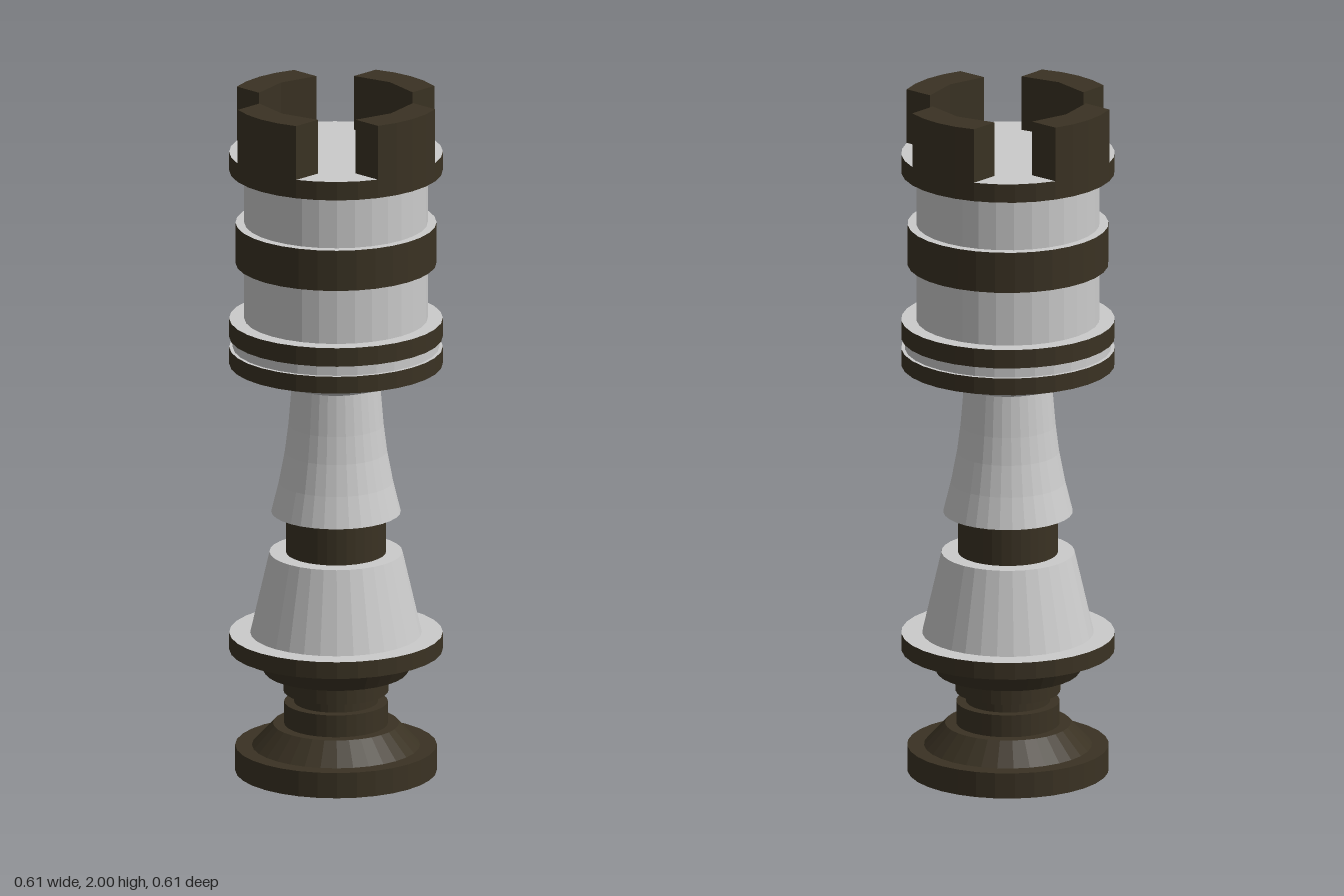
import * as THREE from 'three';

const SIDES = 32;
const RIM = 0.305;

export function createModel() {
  const group = new THREE.Group();
  group.name = 'rookPiece';
  const pale = new THREE.MeshStandardMaterial({ color: 0xcccccc, flatShading: true });
  const dark = new THREE.MeshStandardMaterial({ color: 0x3a3223, flatShading: true });

  const add = (name, geometry, material) => {
    const mesh = new THREE.Mesh(geometry, material);
    mesh.name = name;
    group.add(mesh);
    return mesh;
  };

  // Turned section: profile of [radius, height], bottom to top
  const turn = (name, material, profile) =>
    add(name, new THREE.LatheGeometry(profile.map(([r, y]) => new THREE.Vector2(r, y)), SIDES), material);

  // Dark foot with stepped neck and flared dish
  turn('base', dark, [
    [0, 0], [0.288, 0], [0.288, 0.075], [0.24, 0.075], [0.18, 0.14], [0.148, 0.14],
    [0.148, 0.205], [0.12, 0.205], [0.12, 0.237], [0.15, 0.237], [0.15, 0.295],
    [0.205, 0.295], [0.243, 0.36], [RIM, 0.36], [RIM, 0.41],
  ]);

  // Lower cone and its dark collar
  turn('lowerCone', pale, [[RIM, 0.41], [0.245, 0.41], [0.19, 0.65], [0.143, 0.65]]);
  turn('collar', dark, [[0.143, 0.65], [0.143, 0.77]]);

  // Tapered stem flaring into the underside of the tower
  turn('stem', pale, [
    [0.143, 0.77], [0.185, 0.77], [0.163, 0.86], [0.146, 0.95], [0.136, 1.03],
    [0.126, 1.15], [RIM, 1.21],
  ]);

  // Tower: pale walls between dark bands
  turn('lowerRing', dark, [[RIM, 1.21], [RIM, 1.26]]);
  turn('ringGroove', pale, [[RIM, 1.26], [0.295, 1.26], [0.295, 1.29], [RIM, 1.29]]);
  turn('upperRing', dark, [[RIM, 1.29], [RIM, 1.345]]);
  turn('lowerWall', pale, [[RIM, 1.345], [0.262, 1.345], [0.262, 1.51], [0.287, 1.51]]);
  turn('belt', dark, [[0.287, 1.51], [0.287, 1.63]]);
  turn('upperWall', pale, [[0.287, 1.63], [0.262, 1.63], [0.262, 1.785], [RIM, 1.785]]);
  turn('rim', dark, [[RIM, 1.785], [RIM, 1.84]]);
  turn('towerFloor', pale, [[RIM, 1.84], [0, 1.84]]);

  // Four battlements: faceted outer arc, parallel sides, shallow V inside
  const outline = [];
  for (let i = -2; i <= 2; i++) {
    const a = Math.PI / 2 + (i * Math.PI * 2) / SIDES;
    outline.push(new THREE.Vector2(RIM * Math.cos(a), RIM * Math.sin(a)));
  }
  outline.push(new THREE.Vector2(-0.117, 0.193), new THREE.Vector2(0, 0.22), new THREE.Vector2(0.117, 0.193));
  const battlement = new THREE.ExtrudeGeometry(new THREE.Shape(outline), { depth: 0.16, bevelEnabled: false });
  battlement.rotateX(-Math.PI / 2).translate(0, 1.84, 0);
  for (let i = 0; i < 4; i++) {
    add('battlement' + (i + 1), battlement, dark).rotation.y = (i * Math.PI) / 2;
  }

  return group;
}
